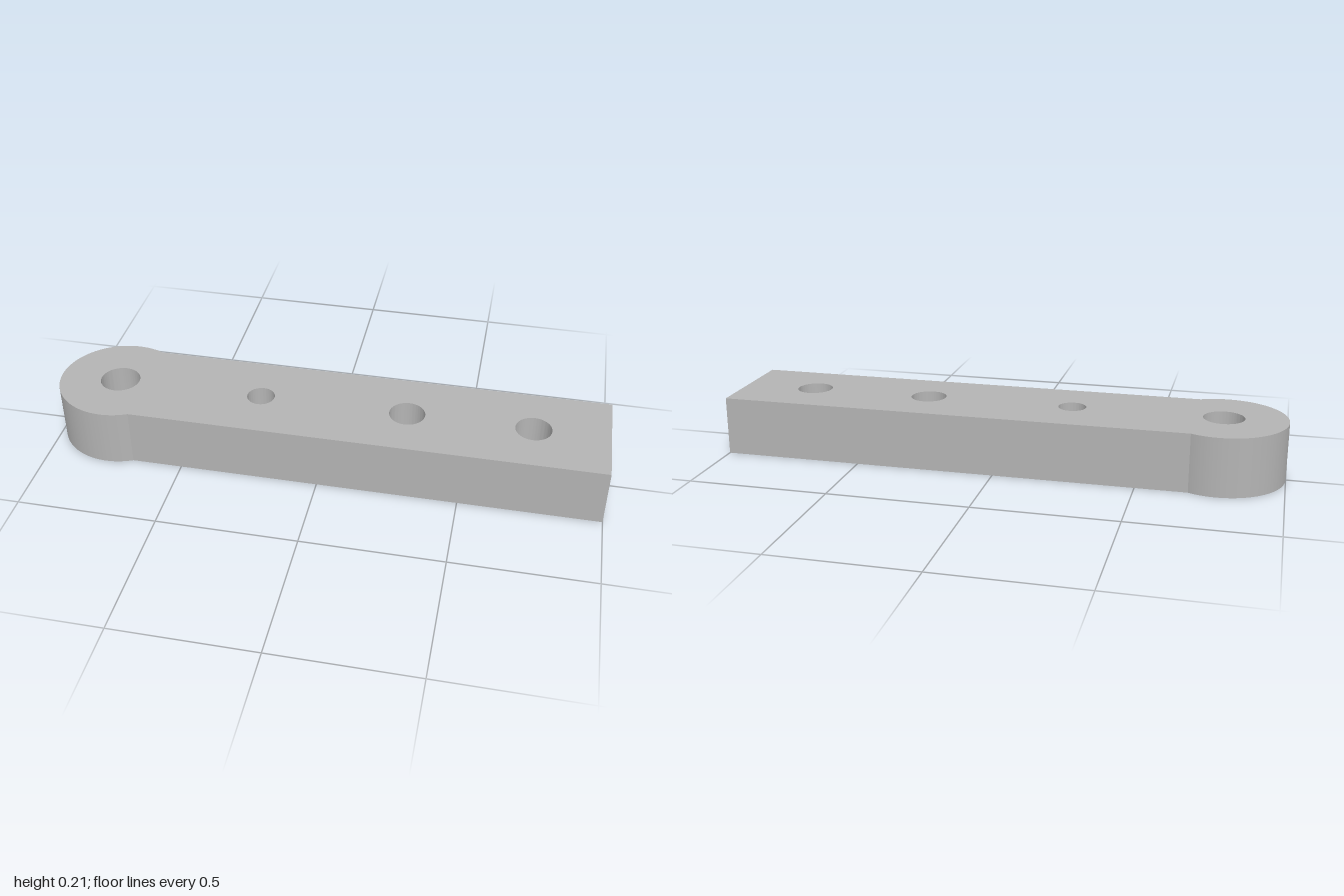
import * as THREE from 'three';
import { toCreasedNormals } from 'three/addons/utils/BufferGeometryUtils.js';

const HEIGHT = 0.21;
const HALF_WIDTH = 0.2;
const EYE_RADIUS = 0.222;
const EYE_X = -1 + EYE_RADIUS;

// Hole centre along x, and radius
const HOLES = [
  [EYE_X, 0.072],
  [-0.245, 0.05],
  [0.288, 0.064],
  [0.733, 0.064],
];

export function createModel() {
  const group = new THREE.Group();
  group.name = 'linkBar';
  const grey = new THREE.MeshStandardMaterial({ color: 0xb4b4b4 });
  grey.name = 'grey';

  // Outline: straight bar running into a slightly wider round eye
  const join = Math.asin(HALF_WIDTH / EYE_RADIUS);
  const outline = new THREE.Shape();
  outline.moveTo(1, -HALF_WIDTH);
  outline.lineTo(1, HALF_WIDTH);
  outline.absarc(EYE_X, 0, EYE_RADIUS, join, 2 * Math.PI - join, false);
  outline.closePath();

  // Through holes
  for (const [x, radius] of HOLES) {
    const hole = new THREE.Path();
    hole.absarc(x, 0, radius, 0, 2 * Math.PI, true);
    outline.holes.push(hole);
  }

  // Extrude upwards, smooth on the round walls and sharp at the edges
  const solid = new THREE.ExtrudeGeometry(outline, {
    depth: HEIGHT, bevelEnabled: false, curveSegments: 64,
  });
  solid.rotateX(-Math.PI / 2);
  const bar = new THREE.Mesh(toCreasedNormals(solid, 0.3), grey);
  bar.name = 'drilledBar';
  group.add(bar);
  return group;
}
